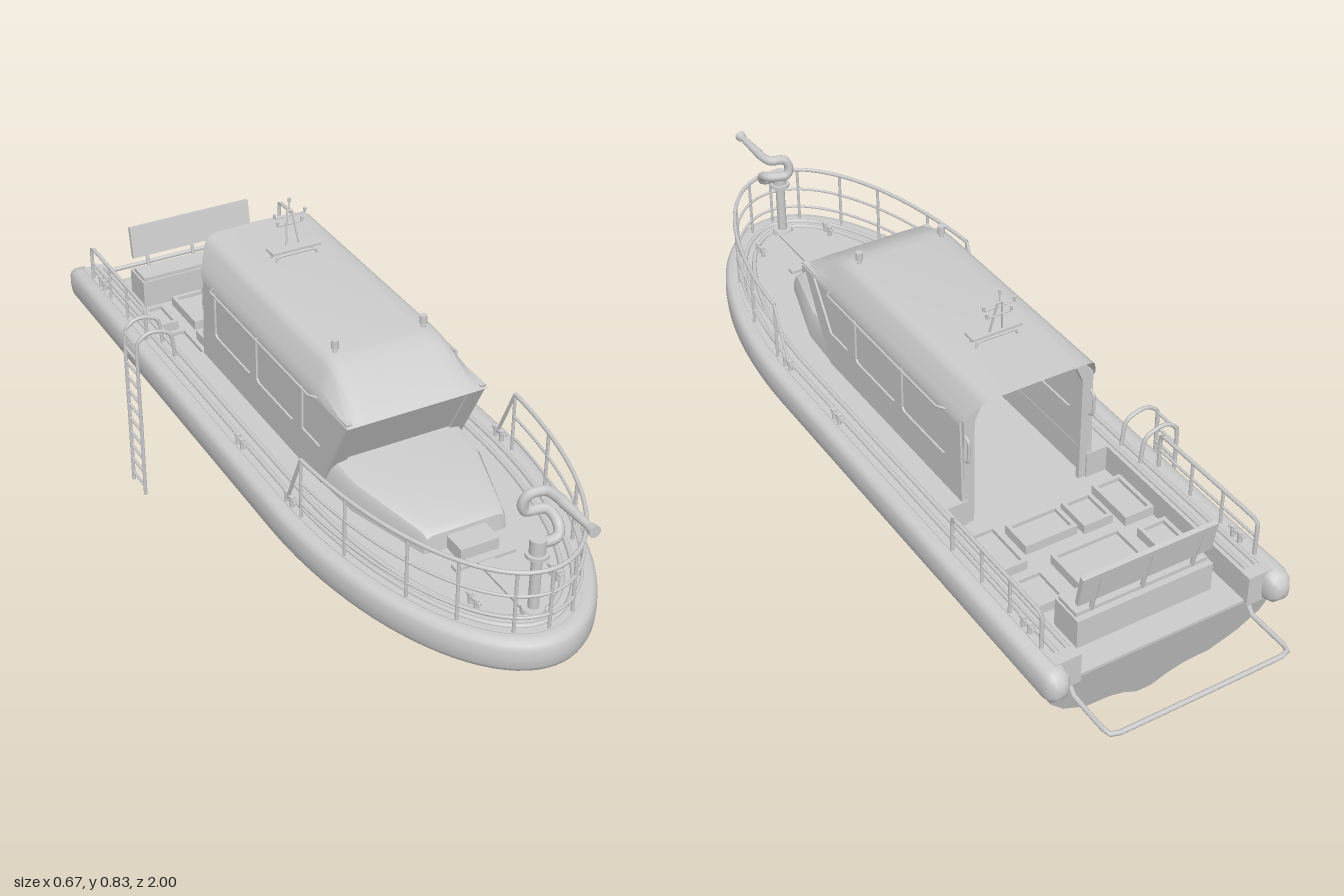
import * as THREE from 'three';
import { toCreasedNormals } from 'three/addons/utils/BufferGeometryUtils.js';

const mat = new THREE.MeshStandardMaterial({ color: 0xcccccc, side: THREE.DoubleSide });
const V = (p) => new THREE.Vector3(...p);

export function createModel() {
  const root = new THREE.Group();
  const boat = new THREE.Group();
  boat.name = 'boat';
  boat.position.x = 0.015;
  root.add(boat);

  const add = (name, geo, parent = boat) => {
    const m = new THREE.Mesh(geo, mat);
    m.name = name;
    parent.add(m);
    return m;
  };
  const box = (name, x0, x1, y0, y1, z0, z1) =>
    add(name, new THREE.BoxGeometry(x1 - x0, y1 - y0, z1 - z0)
      .translate((x0 + x1) / 2, (y0 + y1) / 2, (z0 + z1) / 2));
  const rod = (name, a, b, r) => add(name, new THREE.TubeGeometry(new THREE.LineCurve3(V(a), V(b)), 1, r, 8));
  const tube = (name, pts, r, tension = 0.5) => add(name, new THREE.TubeGeometry(
    new THREE.CatmullRomCurve3(pts.map(V), false, 'catmullrom', tension), pts.length * 5, r, 8));
  const cyl = (name, r0, r1, h, x, y, z) => add(name, new THREE.CylinderGeometry(r0, r1, h, 16).translate(x, y, z));
  const polygon = (pts) => new THREE.Shape(pts.map(([x, y]) => new THREE.Vector2(x, y)));
  const extrude = (shape, depth) => new THREE.ExtrudeGeometry(shape, { depth, bevelEnabled: false });

  // Skin over equal-length rings of points
  const loft = (name, rings, closed, crease = 0.6) => {
    const n = rings[0].length, idx = [];
    for (let i = 0; i < rings.length - 1; i++) {
      for (let j = 0; j < (closed ? n : n - 1); j++) {
        const a = i * n + j, b = i * n + (j + 1) % n;
        idx.push(a, b, b + n, a, b + n, a + n);
      }
    }
    const g = new THREE.BufferGeometry();
    g.setAttribute('position', new THREE.Float32BufferAttribute(rings.flat(2), 3));
    g.setIndex(idx);
    return add(name, toCreasedNormals(g, crease));
  };

  // Plan outline, inset by d: straight sides and an elliptical bow, as [x, z]
  const outline = (d, stern = -0.86) => {
    const a = 0.315 - d, b = 0.69 - d, pts = [[a, stern], [a, -0.3]];
    for (let i = 0; i <= 48; i++) {
      const t = i / 48 * Math.PI;
      pts.push([a * Math.cos(t), 0.3 + b * Math.sin(t)]);
    }
    return [...pts, [-a, -0.3], [-a, stern]];
  };

  // Hull: half section swept from the raked transom to the bow
  const half = [[0, 0], [0.02, 0.005], [0.06, 0.13], [0.1, 0.2], [0.165, 0.22], [0.23, 0.41], [0.273, 0.65], [0.284, 0.85], [0.288, 1]];
  const section = [...half.slice(1).reverse().map(([x, t]) => [-x, t]), ...half];
  const stations = [-0.8, -0.4, 0, 0.25, 0.36, 0.45, 0.53, 0.6, 0.67, 0.73, 0.79, 0.84, 0.88, 0.91, 0.935, 0.953];
  const hullRings = stations.map((z, i) => {
    const keel = 0.123 + 0.19 * Math.max(0, (z - 0.45) / 0.5) ** 2;
    const w = z > 0.25 ? Math.sqrt(1 - ((z - 0.25) / 0.706) ** 2) : 1;
    const bow = Math.max(0, (z - 0.3) / 0.65);
    return section.map(([x, t]) => [
      x * w * (1 - 0.35 * bow * (1 - t)), keel + t * (0.325 - keel), i ? z : z - 0.06 * t]);
  });
  loft('hull', hullRings, false, 0.5);
  const stern = hullRings[0], mid = half.length - 1;
  loft('transom', [stern.slice(0, mid + 1).reverse(), stern.slice(mid)], false);

  // Fender round the gunwale, with rounded stern ends
  const profile = Array.from({ length: 16 }, (_, i) => {
    const t = i / 16 * Math.PI * 2, p = (v) => Math.sign(v) * Math.abs(v) ** 0.65;
    return [p(Math.cos(t)), p(Math.sin(t))];
  });
  const fenderRing = (s, z) => profile.map(([u, v]) => ({ o: outline(0.031 - 0.031 * u * s, z), y: 0.346 + 0.041 * v * s }));
  const ends = [[0.02, -0.9], [0.5, -0.895], [0.85, -0.882], [1, -0.86]];
  const endRings = (last) => ends.map(([s, z]) => fenderRing(s, z).map(({ o, y }) => {
    const p = o[last ? o.length - 1 : 0];
    return [p[0], y, p[1]];
  }));
  const body = fenderRing(1, -0.86);
  const along = body[0].o.map((_, i) => body.map(({ o, y }) => [o[i][0], y, o[i][1]]));
  loft('fender', [...endRings(false), ...along.slice(1, -1), ...endRings(true).reverse()], true, 0.9);

  // Deck with a well for the cockpit and cabin, and the sole below it
  const flat = (pts, y, h) => extrude(polygon(pts.map(([x, z]) => [x, -z])), h).rotateX(-Math.PI / 2).translate(0, y, 0);
  add('deck', flat([...outline(0.035), [-0.215, -0.86], [-0.215, -0.33], [-0.16, -0.33], [-0.16, 0.28],
    [0.16, 0.28], [0.16, -0.33], [0.215, -0.33], [0.215, -0.86]], 0.31, 0.078));
  add('sole', flat(outline(0.04, -0.85), 0.305, 0.015));
  for (const d of [0.058, 0.085]) tube('toeRail', outline(d, -0.83).map(([x, z]) => [x, 0.389, z]), 0.006);

  // Cabin side walls with three windows each
  const wall = [[-0.33, 0.31], [0.25, 0.31], [0.3, 0.4], [0.412, 0.612], [-0.315, 0.612]];
  const windows = [
    [[0.285, 0.48], [0.2, 0.48], [0.2, 0.602], [0.365, 0.602]],
    [[0.16, 0.48], [0.15, 0.473], [-0.02, 0.473], [-0.03, 0.48], [-0.03, 0.602], [0.16, 0.602]],
    [[-0.06, 0.48], [-0.07, 0.473], [-0.245, 0.473], [-0.255, 0.48], [-0.255, 0.602], [-0.06, 0.602]],
  ];
  for (const s of [-1, 1]) {
    // Shape x becomes z after turning
    const place = (shape, depth, x) => extrude(shape, depth).rotateY(-Math.PI / 2).translate(x + depth / 2, 0, 0);
    const side = polygon(wall);
    windows.forEach((w) => side.holes.push(polygon(w)));
    add('cabinSide', place(side, 0.014, s * 0.168));
    windows.forEach((w) => add('sideWindow', place(polygon(w), 0.004, s * 0.168)));
    tube('cabinHandrail', [[s * 0.172, 0.605, 0.28], [s * 0.19, 0.609, 0.26], [s * 0.19, 0.609, -0.24], [s * 0.172, 0.605, -0.26]], 0.003, 0.1);
    tube('doorHandle', [[s * 0.165, 0.5, -0.325], [s * 0.165, 0.51, -0.338], [s * 0.165, 0.56, -0.338], [s * 0.165, 0.57, -0.32]], 0.004, 0.2);
  }

  // Forward-leaning windscreen
  const screen = new THREE.Group();
  screen.name = 'windscreen';
  screen.position.set(0, 0.4, 0.292);
  screen.rotation.x = Math.atan2(0.112, 0.212);
  boat.add(screen);
  const rect = (w, y0, y1) => [[-w, y0], [w, y0], [w, y1], [-w, y1]];
  const frame = polygon(rect(0.174, -0.01, 0.238));
  frame.holes.push(polygon(rect(0.133, 0.075, 0.222)));
  add('windscreenFrame', extrude(frame, 0.01), screen);
  add('windscreenGlass', extrude(polygon(rect(0.133, 0.075, 0.222)), 0.004), screen);

  // Open frame at the back of the cabin
  const back = polygon([[-0.17, 0.31], [0.17, 0.31], [0.17, 0.61], [0.132, 0.675], [-0.132, 0.675], [-0.17, 0.61]]);
  back.holes.push(polygon([[-0.142, 0.32], [0.142, 0.32], [0.142, 0.6], [0.125, 0.64], [0.1, 0.655],
    [-0.1, 0.655], [-0.125, 0.64], [-0.142, 0.6]]));
  add('cabinBackFrame', extrude(back, 0.012).translate(0, 0, -0.325));

  // Roof: an arch with raked back edge and sloping brow
  const archHalf = [[0.177, 0.6], [0.176, 0.612], [0.168, 0.63], [0.147, 0.668], [0.14, 0.678], [0.127, 0.685], [0.1, 0.688], [0, 0.69]];
  const arch = [...archHalf, ...archHalf.slice(0, -1).reverse().map(([x, y]) => [-x, y])];
  const roofRow = (z, drop) => arch.map(([x, y]) => [x, y + (0.606 - y) * drop, z]);
  loft('roof', [
    arch.map(([x, y]) => [x, y, -0.315 - (y - 0.6) * 0.66]),
    roofRow(-0.2, 0), roofRow(0.24, 0), roofRow(0.27, 0.04), roofRow(0.3, 0.16), roofRow(0.4, 0.82), roofRow(0.418, 1),
  ], false, 0.7);

  // Low trunk ahead of the windscreen
  const trunkRow = (z, h, top) => [[-h, 0.38], [-h * 0.98, top - 0.02], [-h * 0.92, top - 0.005], [-h * 0.8, top],
    [h * 0.8, top], [h * 0.92, top - 0.005], [h * 0.98, top - 0.02], [h, 0.38]].map(([x, y]) => [x, y, z]);
  loft('foreTrunk', [trunkRow(0.27, 0.174, 0.47), trunkRow(0.42, 0.165, 0.458), trunkRow(0.61, 0.108, 0.44),
    trunkRow(0.625, 0.104, 0.43), trunkRow(0.63, 0.09, 0.385)], false);
  box('bowLocker', -0.048, 0.048, 0.38, 0.42, 0.625, 0.685);
  box('bowStep', -0.075, 0.075, 0.385, 0.396, 0.69, 0.71);
  box('bowWalkway', -0.02, 0.02, 0.385, 0.394, 0.71, 0.87);

  // Bow railing
  const railPath = outline(0.04).filter(([, z]) => z > 0.35);
  for (const [y, r] of [[0.54, 0.005], [0.48, 0.0035], [0.425, 0.0035]]) {
    tube('bowRail', railPath.map(([x, z]) => [x, y, z]), r);
  }
  const last = railPath.length - 1;
  for (let i = 0; i <= 10; i++) {
    const [x, z] = railPath[Math.round(i / 10 * last)];
    rod('bowRailPost', [x, 0.385, z], [x, 0.54, z], 0.004);
  }
  for (const [x, z] of [railPath[0], railPath[last]]) rod('bowRailBrace', [x, 0.54, z], [x, 0.385, z - 0.07], 0.004);

  // Stern rails and mooring bitts
  for (const s of [-1, 1]) {
    const x = s * 0.275;
    tube('sternRail', [[x, 0.385, -0.45], [x, 0.468, -0.45], [x, 0.48, -0.462], [x, 0.48, -0.79], [x, 0.468, -0.8], [x, 0.385, -0.8]], 0.005, 0.1);
    rod('sternMidRail', [x, 0.435, -0.45], [x, 0.435, -0.8], 0.0035);
    for (const z of [-0.57, -0.68]) rod('sternRailPost', [x, 0.385, z], [x, 0.48, z], 0.004);
    for (const [bx, z] of [[0.272, -0.74], [0.272, 0.08], [0.272, 0.33], [0.1, 0.82]]) {
      for (const dz of [-0.012, 0.012]) cyl('bitt', 0.006, 0.006, 0.03, s * bx, 0.4, z + dz);
      rod('bittBar', [s * bx, 0.407, z - 0.026], [s * bx, 0.407, z + 0.026], 0.004);
    }
  }

  // Pipe frame behind the transom
  tube('sternGuard', [[-0.232, 0.33, -0.83], [-0.232, 0.28, -0.86], [-0.232, 0.278, -0.975], [-0.21, 0.278, -0.994],
    [0.21, 0.278, -0.994], [0.232, 0.278, -0.975], [0.232, 0.28, -0.86], [0.232, 0.33, -0.83]], 0.006, 0.15);

  // Cockpit bench with a raised backrest
  box('benchBox', -0.175, 0.175, 0.315, 0.395, -0.785, -0.7);
  box('benchCushion', -0.17, 0.17, 0.395, 0.405, -0.77, -0.705);
  const rest = box('benchBackrest', -0.172, 0.172, -0.042, 0.042, -0.006, 0.006);
  rest.position.set(0, 0.475, -0.78);
  rest.rotation.x = -0.18;
  for (const x of [-0.13, 0, 0.13]) rod('backrestSupport', [x, 0.39, -0.765], [x, 0.5, -0.79], 0.005);

  // Cockpit hatches with raised rims: x0, x1, z0, z1
  for (const [x0, x1, z0, z1] of [[-0.105, 0.075, -0.68, -0.535], [-0.215, -0.14, -0.66, -0.56], [0.117, 0.192, -0.66, -0.56],
    [-0.215, -0.137, -0.52, -0.385], [0.128, 0.207, -0.525, -0.385], [-0.12, -0.042, -0.495, -0.4], [-0.03, 0.107, -0.485, -0.4]]) {
    const rim = polygon([[x0, -z0], [x1, -z0], [x1, -z1], [x0, -z1]]), e = 0.01;
    rim.holes.push(polygon([[x0 + e, -z0 - e], [x1 - e, -z0 - e], [x1 - e, -z1 + e], [x0 + e, -z1 + e]]));
    add('hatchRim', extrude(rim, 0.03).rotateX(-Math.PI / 2).translate(0, 0.315, 0));
    box('hatchLid', x0 + e, x1 - e, 0.315, 0.335, z0 + e, z1 - e);
  }

  // Boarding ladder hooked over the right side
  for (const z of [-0.345, -0.42]) {
    tube('ladderRail', [[-0.345, 0, z], [-0.345, 0.2, z], [-0.345, 0.43, z], [-0.335, 0.46, z], [-0.308, 0.474, z],
      [-0.275, 0.468, z], [-0.253, 0.45, z], [-0.245, 0.39, z]], 0.005);
  }
  for (let i = 0; i < 11; i++) rod('ladderRung', [-0.345, 0.025 + i * 0.042, -0.345], [-0.345, 0.025 + i * 0.042, -0.42], 0.004);

  // Water cannon on its pedestal
  cyl('cannonFoot', 0.025, 0.028, 0.012, 0, 0.394, 0.89);
  cyl('cannonPedestal', 0.012, 0.012, 0.15, 0, 0.465, 0.89);
  cyl('cannonFlange', 0.026, 0.026, 0.008, 0, 0.536, 0.89);
  cyl('cannonSwivel', 0.018, 0.018, 0.035, 0, 0.557, 0.89);
  tube('cannonPipe', [[0, 0.56, 0.89], [0.045, 0.562, 0.89], [0.055, 0.585, 0.875], [0.05, 0.598, 0.84], [0.01, 0.598, 0.828],
    [0, 0.62, 0.828], [0.012, 0.642, 0.832], [0.045, 0.645, 0.84], [0.054, 0.645, 0.87], [0.054, 0.645, 0.9]], 0.012);
  add('cannonBarrel', new THREE.CylinderGeometry(0.008, 0.012, 0.1, 16).rotateX(Math.PI / 2).translate(0.054, 0.645, 0.94));
  add('cannonNozzle', new THREE.CylinderGeometry(0.014, 0.01, 0.02, 16).rotateX(Math.PI / 2).translate(0.054, 0.645, 0.99));

  // Roof lamps, antenna rack and mast
  for (const s of [-1, 1]) {
    cyl('lampStem', 0.004, 0.006, 0.012, s * 0.112, 0.692, 0.24);
    cyl('roofLamp', 0.009, 0.009, 0.02, s * 0.112, 0.707, 0.24);
    const x = 0.005;
    rod('mastLeg', [x + s * 0.017, 0.712, -0.19], [x + s * 0.006, 0.795, -0.205], 0.0025);
    for (const [w, y] of [[0.04, 0.785], [0.032, 0.763]]) {
      rod('mastArm', [x, y, -0.203], [x + s * w, y, -0.203], 0.002);
      cyl('mastLight', 0.004, 0.003, 0.012, x + s * w, y + 0.006, -0.203);
    }
  }
  box('antennaRack', -0.06, 0.07, 0.709, 0.715, -0.2, -0.165);
  for (const z of [-0.195, -0.17]) {
    tube('rackFoot', [[-0.05, 0.685, z], [-0.046, 0.698, z], [-0.035, 0.701, z], [0.045, 0.701, z], [0.056, 0.698, z], [0.06, 0.685, z]], 0.003, 0.2);
  }
  rod('mastTop', [0.005, 0.795, -0.205], [0.005, 0.825, -0.205], 0.002);
  rod('mastCap', [-0.002, 0.797, -0.205], [0.012, 0.797, -0.205], 0.003);
  cyl('mastheadLight', 0.004, 0.004, 0.01, 0.005, 0.825, -0.205);

  return root;
}
